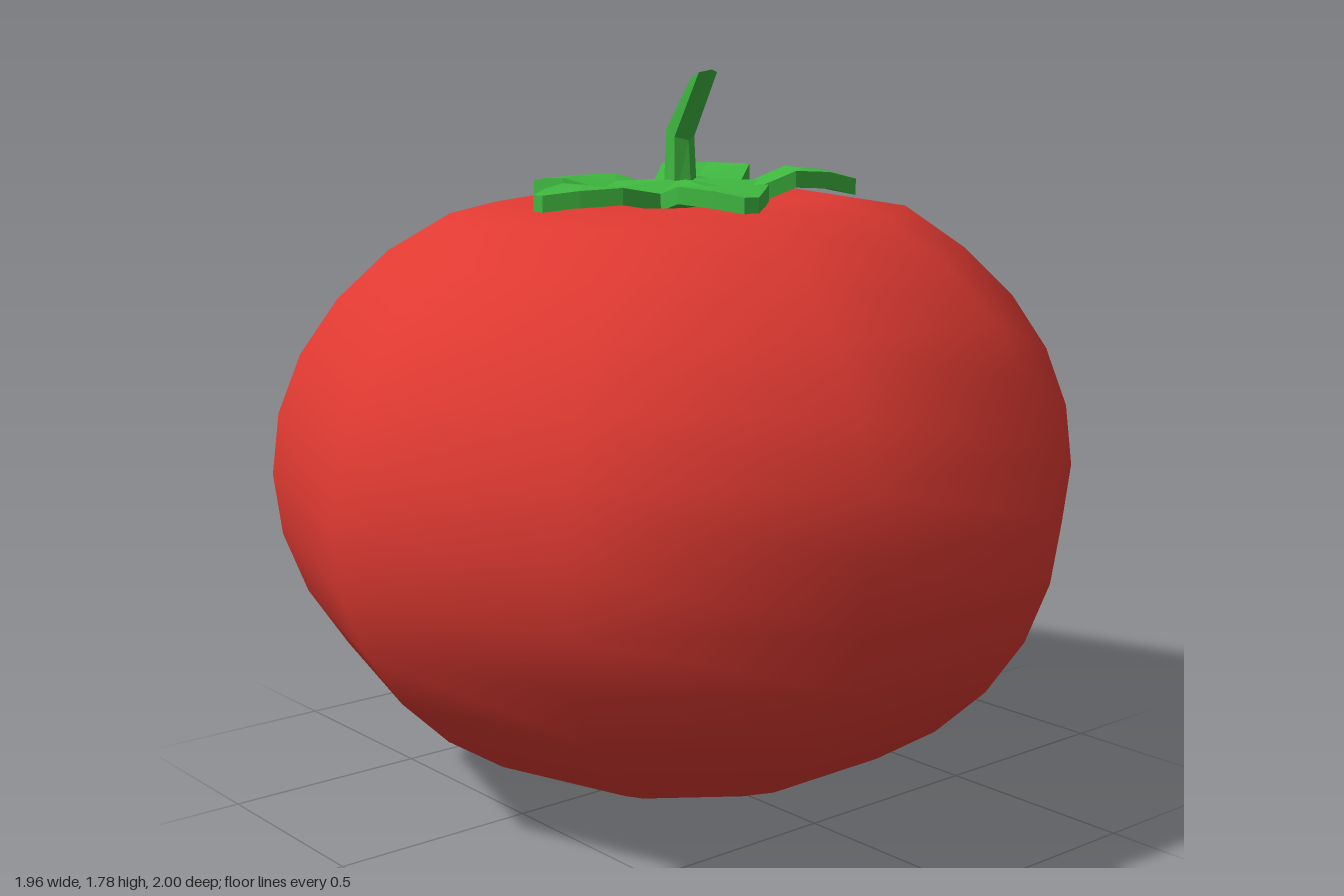
import * as THREE from 'three';
import { mergeVertices } from 'three/addons/utils/BufferGeometryUtils.js';

const red = new THREE.MeshStandardMaterial({ color: 0xe03a32 });
red.name = 'tomato red';
const green = new THREE.MeshStandardMaterial({ color: 0x3fb740, flatShading: true });
green.name = 'leaf green';

// Squashed ten-sided fruit with sixteen rings and a dimpled top
function makeFruit() {
  const rings = 16;
  const points = [];
  for (let i = 0; i <= rings; i++) {
    const a = (i / rings) * Math.PI;
    let y = 0.79 - 0.785 * Math.cos(a);
    if (i === 14) y = 1.472;
    if (i === 15) y = 1.462;
    if (i === 16) y = 1.45;
    points.push(new THREE.Vector2(i % rings ? Math.sin(a) : 0, y));
  }
  let geo = new THREE.LatheGeometry(points, 10);
  const p = geo.attributes.position;
  for (let i = 0; i < p.count; i++) {
    const x = p.getX(i), y = p.getY(i), z = p.getZ(i);
    p.setX(i, x * (1.02 + 0.03 * z)); // slightly wider towards the front
    if (y > 1.4) p.setY(i, y - 0.015 * z);
  }
  // weld the seam so the shading stays smooth
  geo.deleteAttribute('normal');
  geo.deleteAttribute('uv');
  geo = mergeVertices(geo, 1e-4);
  geo.computeVertexNormals();
  return new THREE.Mesh(geo, red);
}

// Five-pointed leafy crown with a thin solid section
function makeCalyx() {
  const thick = 0.04;
  const verts = [];
  const tri = (a, b, c) => verts.push(...a, ...b, ...c);
  const down = (v) => [v[0], v[1] - thick, v[2]];
  const slab = (a, b, c) => {
    tri(a, b, c);
    tri(down(a), down(c), down(b));
  };
  const wall = (a, b) => {
    tri(down(a), down(b), b);
    tri(down(a), b, a);
  };
  const lifts = [0, 0.005, 0.03, 0.03, 0.005];
  lifts.forEach((lift, k) => {
    const ang = (k * Math.PI * 2) / 5;
    const s = Math.sin(ang), c = Math.cos(ang);
    // along = distance outwards, across = sideways offset
    const at = (along, across, y) => [along * s + across * c, y, along * c - across * s];
    const centre = [0, 1.52, 0];
    const spine1 = at(0.19, 0, 1.505 + lift * 0.3);
    const spine2 = at(0.3, 0, 1.513 + lift);
    const edge = [
      at(0.154, -0.112, 1.493), at(0.27, -0.115, 1.512 + lift),
      at(0.36, -0.065, 1.506 + lift), at(0.43, -0.018, 1.496 + lift * 0.7),
      at(0.43, 0.018, 1.496 + lift * 0.7), at(0.36, 0.065, 1.506 + lift),
      at(0.27, 0.115, 1.512 + lift), at(0.154, 0.112, 1.493),
    ];
    slab(centre, edge[0], spine1);
    slab(centre, spine1, edge[7]);
    slab(spine1, edge[0], edge[1]);
    slab(spine1, edge[1], spine2);
    slab(spine1, spine2, edge[6]);
    slab(spine1, edge[6], edge[7]);
    for (let i = 1; i < 6; i++) slab(spine2, edge[i], edge[i + 1]);
    for (let i = 0; i < 7; i++) wall(edge[i], edge[i + 1]);
  });
  const geo = new THREE.BufferGeometry();
  geo.setAttribute('position', new THREE.Float32BufferAttribute(verts, 3));
  geo.computeVertexNormals();
  return new THREE.Mesh(geo, green);
}

// Six-sided stalk bent towards +x, with a slanted cut end
function makeStem() {
  const geo = new THREE.CylinderGeometry(1, 1, 1, 6, 2);
  const rows = [
    { x: 0, y: 1.46, rx: 0.043, rz: 0.042, slope: 0 },
    { x: 0, y: 1.63, rx: 0.031, rz: 0.036, slope: -0.6 },
    { x: 0.088, y: 1.768, rx: 0.029, rz: 0.033, slope: 0.45 },
  ];
  const p = geo.attributes.position;
  for (let i = 0; i < p.count; i++) {
    const r = rows[Math.round((p.getY(i) + 0.5) * 2)];
    // quarter turn puts a corner on the x axis
    const dx = p.getZ(i) * r.rx, dz = -p.getX(i) * r.rz;
    p.setXYZ(i, r.x + dx, r.y + dx * r.slope, dz);
  }
  geo.computeVertexNormals();
  return new THREE.Mesh(geo, green);
}

export function createModel() {
  const group = new THREE.Group();
  group.name = 'tomato';
  const parts = { fruit: makeFruit(), calyx: makeCalyx(), stem: makeStem() };
  for (const [name, mesh] of Object.entries(parts)) {
    mesh.name = name;
    group.add(mesh);
  }
  return group;
}
